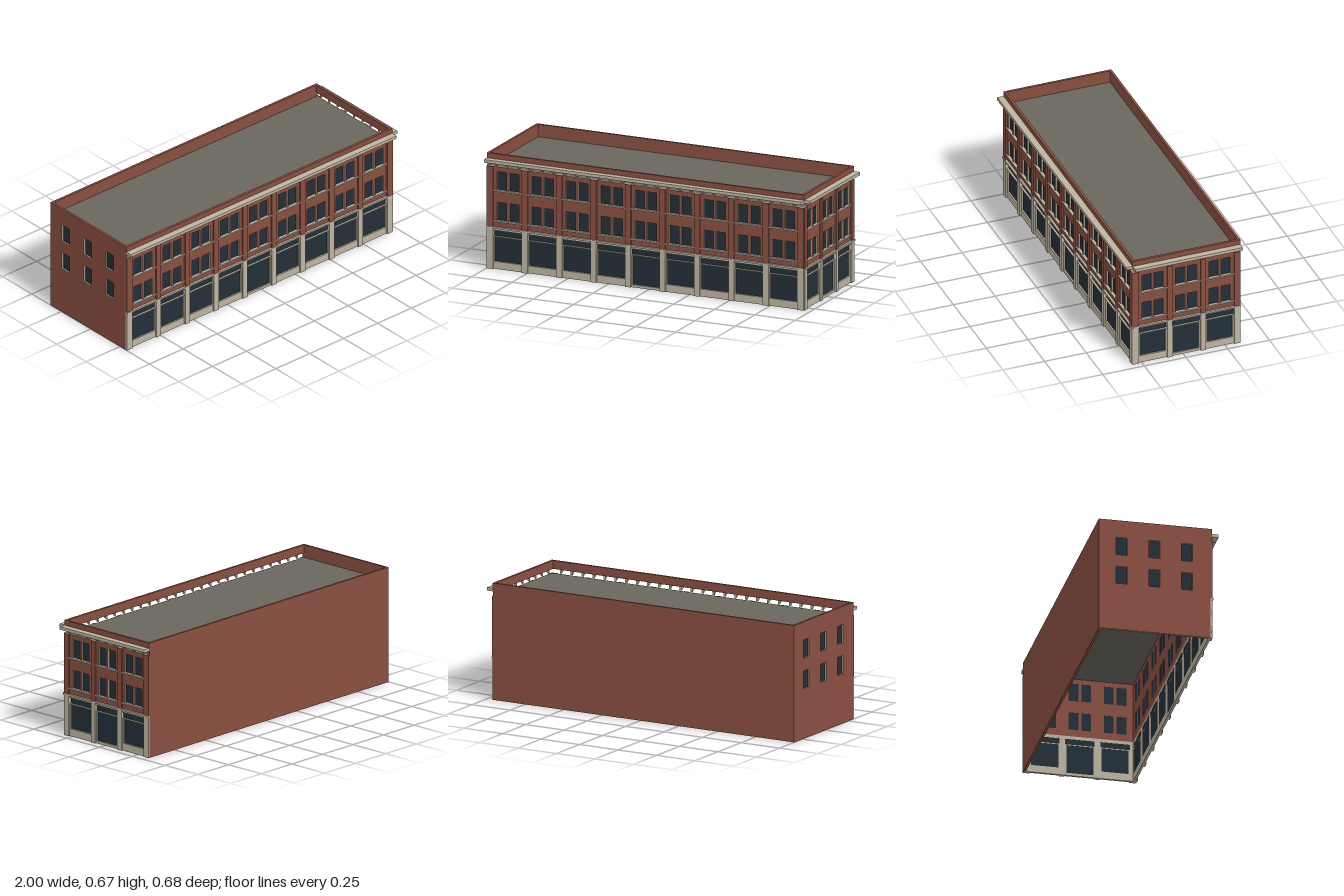
import * as THREE from 'three';

const mat = (name, color) => {
  const m = new THREE.MeshStandardMaterial({ color });
  m.name = name;
  return m;
};

export function createModel() {
  const brick = mat('brick', 0x8a4f40);
  const stone = mat('stone', 0xbdb5a0);
  const glass = mat('darkGlass', 0x232f38);
  const roofing = mat('roofing', 0x69665d);
  roofing.side = THREE.DoubleSide;

  const THICK = 0.014;
  const FLOORS = [[0.283, 0.388], [0.46, 0.566]];

  const add = (group, name, geometry, material) => {
    const mesh = new THREE.Mesh(geometry, material);
    mesh.name = name;
    group.add(mesh);
    return mesh;
  };
  // box given by its limits
  const box = (group, name, material, x0, x1, y0, y1, z0, z1) =>
    add(group, name, new THREE.BoxGeometry(x1 - x0, y1 - y0, z1 - z0), material)
      .position.set((x0 + x1) / 2, (y0 + y1) / 2, (z0 + z1) / 2);

  const rect = (Type, x0, x1, y0, y1) => new Type([
    new THREE.Vector2(x0, y0), new THREE.Vector2(x1, y0),
    new THREE.Vector2(x1, y1), new THREE.Vector2(x0, y1)]);

  // wall sheet with glazed openings, outer face at local z = 0
  const wall = (group, name, material, x0, x1, y0, y1, openings) => {
    const shape = rect(THREE.Shape, x0, x1, y0, y1);
    openings.forEach(o => shape.holes.push(rect(THREE.Path, ...o)));
    const geo = new THREE.ExtrudeGeometry(shape, { depth: THICK, bevelEnabled: false });
    geo.translate(0, 0, -THICK);
    add(group, name, geo, [material, stone]);
    openings.forEach(([a, b, c, d]) =>
      box(group, 'windowPane', glass, a, b, c, d, -THICK + 0.001, -THICK + 0.005));
  };

  // wedge under the cornice
  const wedge = new THREE.Shape([
    new THREE.Vector2(0, 0.598), new THREE.Vector2(0.033, 0.622), new THREE.Vector2(0, 0.622)]);
  const bracketGeo = new THREE.ExtrudeGeometry(wedge, { depth: 0.013, bevelEnabled: false });
  bracketGeo.translate(0, 0, -0.0065);
  bracketGeo.rotateY(-Math.PI / 2);

  // street facade: storefronts, two window floors, pilasters and cornice
  const facade = ({ name, bays, pitch, bay, half, win, display, door, brackets, bracketPitch }) => {
    const g = new THREE.Group();
    g.name = name;
    const shops = [], windows = [];
    for (let i = 0; i < bays; i++) {
      const c = (i - (bays - 1) / 2) * pitch;
      const l = c - bay / 2, r = c + bay / 2;
      shops.push([c - display / 2, c + display / 2, i === door ? 0.015 : 0.043, 0.185]);
      shops.push([l + 0.0005, r - 0.0005, 0.19, 0.223]);
      box(g, 'transomBar', stone, l, r, 0.1855, 0.1898, -0.005, 0.003);
      FLOORS.forEach(([y0, y1]) => {
        for (const s of [-1, 1]) {
          const a = c + s * 0.008, b = c + s * (0.008 + win);
          windows.push([Math.min(a, b), Math.max(a, b), y0, y1]);
        }
        box(g, 'windowSill', stone, l, r, y0 - 0.008, y0, -0.004, 0.008);
      });
    }
    const e = half - 0.003;
    wall(g, 'storefrontWall', stone, -e, e, 0, 0.242, shops);
    wall(g, 'brickWall', brick, -e, e, 0.242, 0.595, windows);

    for (let i = 0; i <= bays; i++) {
      const c = (i - bays / 2) * pitch, w = (pitch - bay) / 2;
      const l = i === 0 ? -half : c - w, r = i === bays ? half : c + w;
      box(g, 'stonePilaster', stone, l, r, 0, 0.24, -0.004, 0.009);
      box(g, 'brickPilaster', brick, l, r, 0.242, 0.595, -0.004, 0.009);
    }
    box(g, 'beltCourse', stone, -half, half, 0.236, 0.246, -0.004, 0.013);

    // parapet rests on brackets, leaving open slots between them
    box(g, 'parapet', brick, -half, half, 0.622, 0.67, -0.01, 0.005);
    box(g, 'cornice', stone, -half, half, 0.622, 0.64, 0.004, 0.043);
    for (let i = 0; i < brackets; i++) {
      add(g, 'corniceBracket', bracketGeo, stone)
        .position.x = (i - (brackets - 1) / 2) * bracketPitch;
    }
    return g;
  };

  const model = new THREE.Group();
  model.name = 'commercialBuilding';

  const front = facade({
    name: 'frontFacade', bays: 9, pitch: 0.2128, bay: 0.178, half: 0.98, win: 0.06,
    display: 0.168, door: 4, brackets: 27, bracketPitch: 0.0709 });
  front.position.set(-0.02, 0, 0.3);

  const side = facade({
    name: 'sideFacade', bays: 3, pitch: 0.2008, bay: 0.17, half: 0.322, win: 0.056,
    display: 0.155, door: 1, brackets: 9, bracketPitch: 0.0704 });
  side.rotation.y = Math.PI / 2;
  side.position.set(0.956, 0, -0.018);

  // plain end wall with narrow windows
  const end = new THREE.Group();
  end.name = 'endWall';
  const endWindows = [];
  for (const z of [-0.21, -0.024, 0.162])
    for (const [y0, y1] of FLOORS) endWindows.push([z - 0.032, z + 0.032, y0, y1]);
  wall(end, 'brickEndWall', brick, -0.338, 0.304, 0, 0.669, endWindows);
  end.rotation.y = -Math.PI / 2;
  end.position.x = -1;

  model.add(front, side, end);

  // blank rear wall and flat roof
  box(model, 'rearWall', brick, -1, 0.957, 0, 0.67, -0.341, -0.327);
  box(model, 'endCoping', brick, -1, -0.986, 0.666, 0.67, -0.34, 0.305);
  const roof = add(model, 'roof', new THREE.PlaneGeometry(1.944, 0.628), roofing);
  roof.rotation.x = -Math.PI / 2;
  roof.position.set(-0.016, 0.597, -0.018);

  return model;
}
